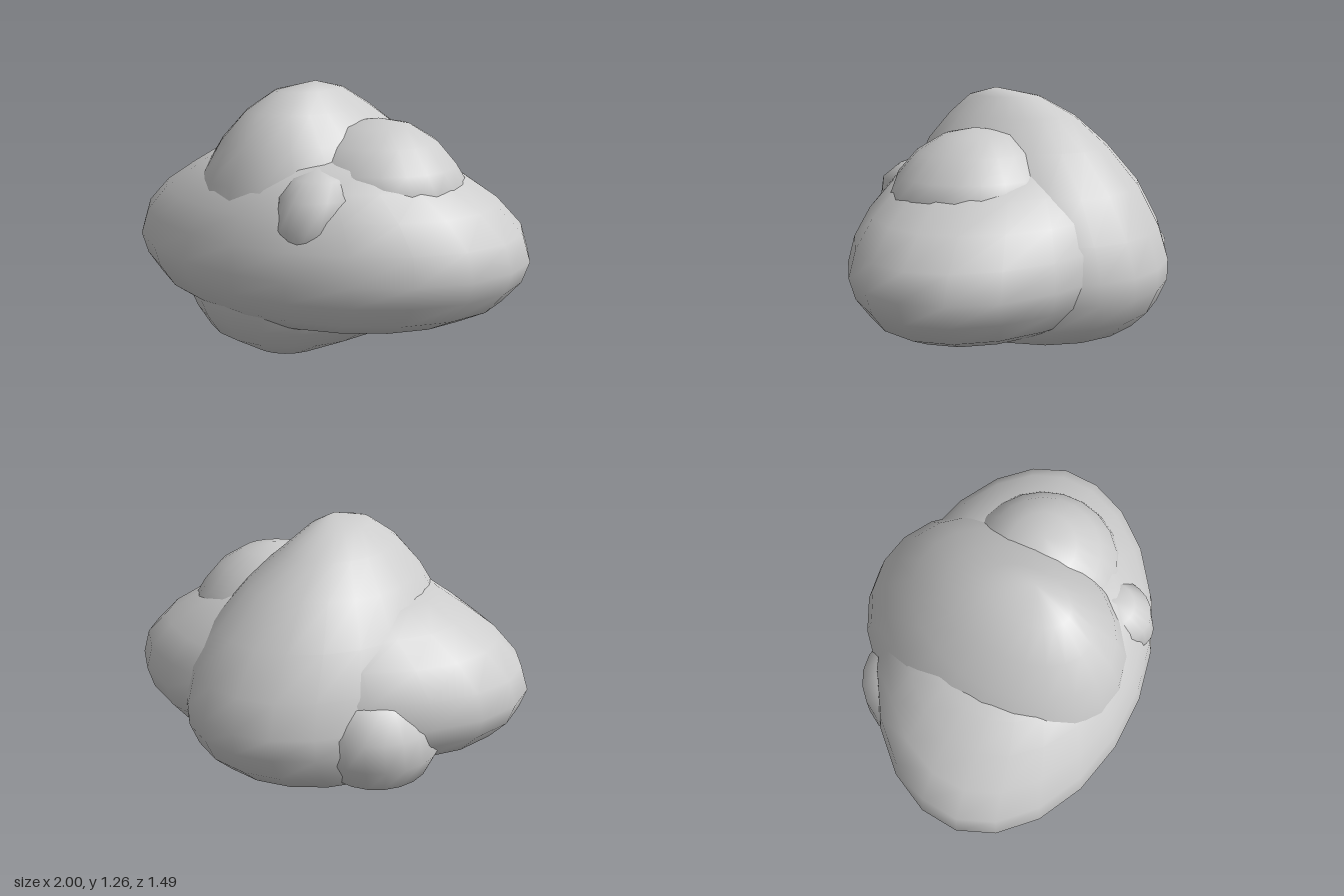
import * as THREE from 'three';

const SIDES = 22;
const material = new THREE.MeshStandardMaterial({ color: 0xcccccc });

// Smooth closed lump from level rings [y, xMin, xMax, zMin, zMax], bottom to top.
// The first and last rings are single points. skew shifts x along z,
// power sets how round (2) or diamond-like (below 2) the outline is.
function lump(name, rings, { skew = 0, power = 2 } = {}) {
  const pos = [], index = [];
  const bend = (c) => Math.sign(c) * Math.abs(c) ** (2 / power);
  const last = rings.length - 1;
  rings.forEach(([y, x0, x1, z0, z1], r) => {
    const count = r === 0 || r === last ? 1 : SIDES;
    const cz = (z0 + z1) / 2;
    for (let i = 0; i < count; i++) {
      const a = (i / SIDES) * Math.PI * 2;
      const s = count === 1 ? 0 : 1;
      const dz = s * bend(Math.sin(a)) * (z1 - z0) / 2;
      const x = (x0 + x1) / 2 + s * bend(Math.cos(a)) * (x1 - x0) / 2 + skew * dz;
      pos.push(x, y, cz + dz);
    }
  });
  const at = (r, i) => 1 + (r - 1) * SIDES + (i % SIDES);
  const top = pos.length / 3 - 1;
  for (let i = 0; i < SIDES; i++) {
    index.push(0, at(1, i), at(1, i + 1));
    for (let r = 1; r < last - 1; r++) {
      const a = at(r, i), b = at(r, i + 1), c = at(r + 1, i), d = at(r + 1, i + 1);
      index.push(a, c, b, b, c, d);
    }
    index.push(top, at(last - 1, i + 1), at(last - 1, i));
  }
  const geo = new THREE.BufferGeometry();
  geo.setAttribute('position', new THREE.Float32BufferAttribute(pos, 3));
  geo.setIndex(index);
  geo.computeVertexNormals();
  const mesh = new THREE.Mesh(geo, material);
  mesh.name = name;
  return mesh;
}

export function createModel() {
  const group = new THREE.Group();
  group.name = 'lumpyCluster';

  // Wide low body running left to right
  group.add(lump('wideBody', [
    [0.2, 0, 0, 0.08, 0.08],
    [0.2, -0.55, 0.55, -0.25, 0.42],
    [0.23, -0.76, 0.76, -0.42, 0.6],
    [0.3, -0.89, 0.89, -0.53, 0.68],
    [0.4, -0.97, 0.97, -0.6, 0.73],
    [0.5, -1, 1, -0.62, 0.75],
    [0.62, -0.96, 0.96, -0.6, 0.72],
    [0.74, -0.84, 0.84, -0.54, 0.67],
    [0.84, -0.68, 0.68, -0.45, 0.6],
    [0.92, -0.54, 0.54, -0.35, 0.52],
    [0.97, -0.35, 0.35, -0.2, 0.38],
    [1.0, 0, 0, 0.1, 0.1],
  ], { power: 1.92 }));

  // Tall central hill with a sloping back and underside
  group.add(lump('tallHill', [
    [0, -0.05, -0.05, 0.32, 0.32],
    [0.02, -0.25, 0.1, 0.12, 0.47],
    [0.1, -0.52, 0.34, -0.3, 0.57],
    [0.19, -0.62, 0.52, -0.62, 0.62],
    [0.28, -0.65, 0.58, -0.7, 0.66],
    [0.4, -0.65, 0.6, -0.75, 0.67],
    [0.5, -0.64, 0.6, -0.75, 0.67],
    [0.65, -0.61, 0.57, -0.7, 0.65],
    [0.83, -0.55, 0.47, -0.59, 0.61],
    [1.0, -0.43, 0.33, -0.43, 0.54],
    [1.13, -0.31, 0.18, -0.26, 0.43],
    [1.22, -0.18, 0.08, -0.08, 0.31],
    [1.26, -0.01, -0.01, 0.14, 0.14],
  ], { skew: -0.14 }));

  // Rounded shoulder on the left
  group.add(lump('sideShoulder', [
    [0.3, 0.3, 0.3, 0.1, 0.1],
    [0.4, 0.0, 0.55, -0.15, 0.35],
    [0.6, -0.13, 0.7, -0.28, 0.48],
    [0.8, -0.14, 0.71, -0.3, 0.49],
    [0.9, -0.11, 0.65, -0.25, 0.46],
    [1.0, -0.02, 0.56, -0.17, 0.37],
    [1.07, 0.1, 0.44, -0.06, 0.25],
    [1.1, 0.29, 0.29, 0.1, 0.1],
  ]));

  // Small knob at the front
  group.add(lump('frontKnob', [
    [0.5, 0.15, 0.15, 0.5, 0.5],
    [0.6, 0.04, 0.25, 0.34, 0.67],
    [0.7, 0.0, 0.3, 0.3, 0.71],
    [0.82, 0.0, 0.33, 0.3, 0.67],
    [0.89, 0.05, 0.27, 0.37, 0.58],
    [0.93, 0.16, 0.16, 0.47, 0.47],
  ]));

  // Low lump at the back right
  group.add(lump('backLump', [
    [0.1, -0.35, -0.35, -0.3, -0.3],
    [0.14, -0.5, -0.2, -0.46, -0.12],
    [0.22, -0.61, -0.1, -0.57, -0.02],
    [0.35, -0.66, -0.05, -0.64, 0],
    [0.48, -0.64, -0.05, -0.64, 0],
    [0.6, -0.56, -0.1, -0.56, -0.04],
    [0.7, -0.33, -0.33, -0.3, -0.3],
  ]));

  return group;
}
